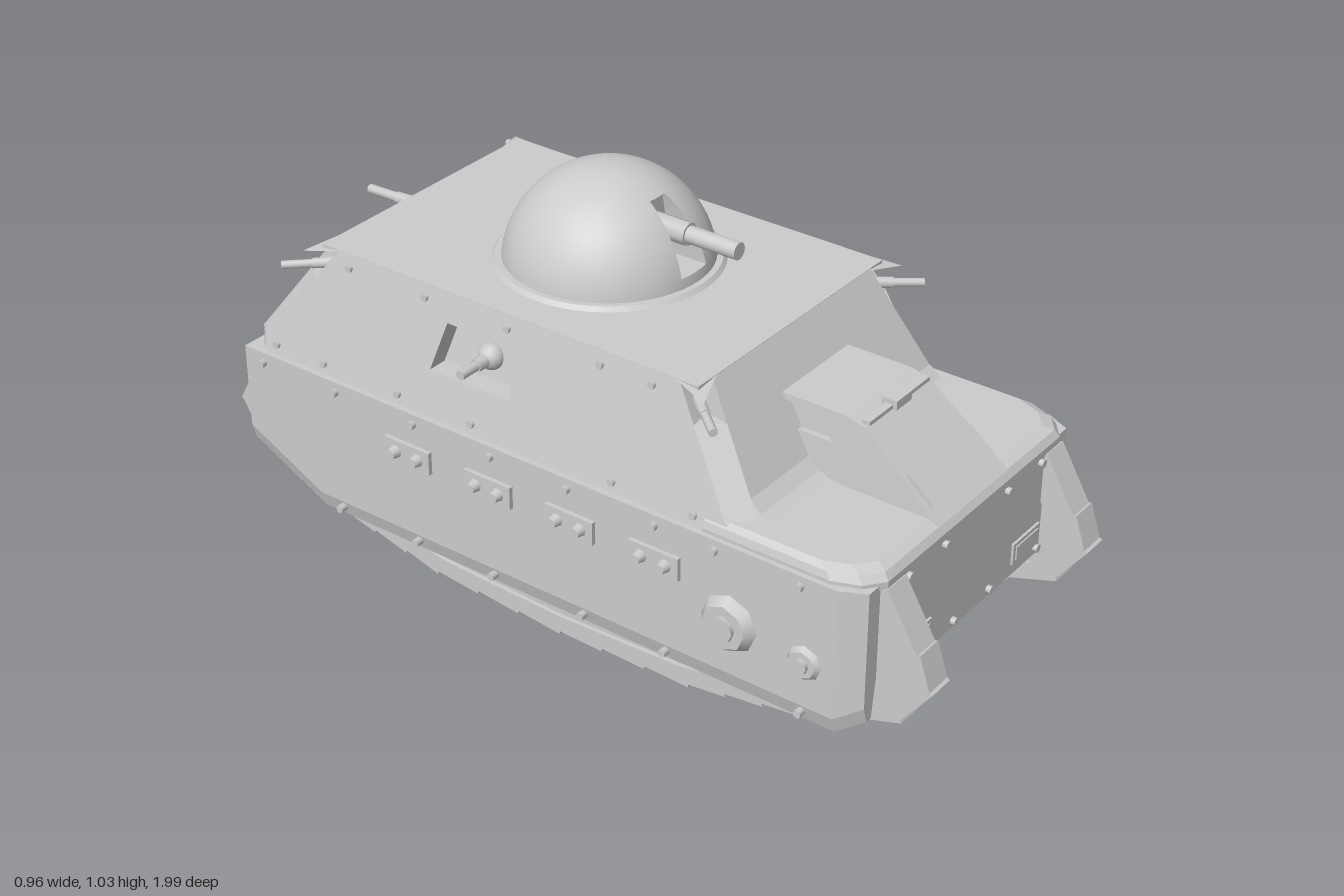
import * as THREE from 'three';
import { mergeGeometries } from 'three/addons/utils/BufferGeometryUtils.js';

const grey = new THREE.MeshStandardMaterial({ color: 0xcccccc, side: THREE.DoubleSide });
const V = (p) => new THREE.Vector3(...p);

// Skin between rows of points, flat shaded, with optional end caps
function loft(rows, closed = false, caps = false) {
  const pos = [];
  const n = rows[0].length;
  for (let i = 0; i < rows.length - 1; i++) {
    for (let j = 0; j < (closed ? n : n - 1); j++) {
      const k = (j + 1) % n;
      const [a, b, c, d] = [rows[i][j], rows[i][k], rows[i + 1][k], rows[i + 1][j]];
      pos.push(...a, ...b, ...c, ...a, ...c, ...d);
    }
  }
  if (caps) for (const r of [rows[0], rows[rows.length - 1]])
    for (let j = 1; j < n - 1; j++) pos.push(...r[0], ...r[j], ...r[j + 1]);
  const g = new THREE.BufferGeometry();
  g.setAttribute('position', new THREE.Float32BufferAttribute(pos, 3));
  g.computeVertexNormals();
  return g;
}

const shapeOf = (pts) => new THREE.Shape(pts.map((p) => new THREE.Vector2(...p)));

// Flat plate with a recessed pocket; place(u, v, depth) gives the point in space
function panel(outline, hole, place, depth = 0.05) {
  const flat = (shape, d) => {
    const g = new THREE.ShapeGeometry(shape).toNonIndexed();
    const p = g.attributes.position;
    for (let i = 0; i < p.count; i++) p.setXYZ(i, ...place(p.getX(i), p.getY(i), d));
    g.deleteAttribute('uv');
    g.computeVertexNormals();
    return g;
  };
  const shape = shapeOf(outline);
  shape.holes.push(shapeOf(hole));
  const rim = [0, depth].map((d) => hole.map(([u, v]) => place(u, v, d)));
  return mergeGeometries([flat(shape, 0), flat(shapeOf(hole), depth), loft(rim, true)]);
}

// Slopes of the upper hull
const sideX = (y) => 0.415 - (y - 0.53) * 0.222;
const frontZ = (y) => 0.385 + (0.8 - y) * 0.62;
const rearZ = (y) => -0.89 + Math.max(0, y - 0.53) * 0.74;

export function createModel() {
  const model = new THREE.Group();
  const body = new THREE.Group();
  body.name = 'vehicle';
  body.position.x = -0.012;
  model.add(body);

  const add = (name, geo, at = [0, 0, 0]) => {
    const m = new THREE.Mesh(geo, grey);
    m.name = name;
    m.position.set(...at);
    body.add(m);
    return m;
  };
  const box = (name, size, at) => add(name, new THREE.BoxGeometry(...size), at);
  const rod = (name, a, b, r1, r2 = r1, sides = 10) => {
    const d = V(b).sub(V(a));
    const m = add(name, new THREE.CylinderGeometry(r2, r1, d.length(), sides), V(a).addScaledVector(d, 0.5).toArray());
    m.quaternion.setFromUnitVectors(new THREE.Vector3(0, 1, 0), d.normalize());
    return m;
  };
  const gun = (name, a, b, r) => {
    rod(name, a, b, r);
    const at = (t) => V(a).lerp(V(b), t).toArray();
    rod(name + 'Sleeve', at(0), at(0.55), r * 1.5, r * 1.3, 8);
  };
  const bar = (name, pts, r) => {
    const path = new THREE.CurvePath();
    for (let i = 1; i < pts.length; i++) path.add(new THREE.LineCurve3(V(pts[i - 1]), V(pts[i])));
    add(name, new THREE.TubeGeometry(path, 24, r, 6));
  };

  // Lower hull, extruded across the vehicle
  const core = new THREE.ExtrudeGeometry(shapeOf([
    [0.87, 0.505], [0.87, 0.23], [0.83, 0.18], [0.72, 0.145], [0.6, 0.13],
    [-0.62, 0.13], [-0.8, 0.19], [-0.89, 0.27], [-0.89, 0.53], [0.5, 0.53]]), { depth: 0.6, bevelEnabled: false });
  add('lowerHull', core.rotateY(-Math.PI / 2).translate(0.3, 0, 0));
  box('rearDeck', [0.74, 0.09, 0.3], [0, 0.485, -0.74]);

  // Bonnet with cut front corners and a softened top edge
  const plan = (y, w, z) => [[w, y, 0.45], [w, y, z - 0.1], [w - 0.025, y, z - 0.035], [w - 0.07, y, z],
    [-w + 0.07, y, z], [-w + 0.025, y, z - 0.035], [-w, y, z - 0.1], [-w, y, 0.45]];
  add('bonnet', loft([plan(0.49, 0.425, 0.872), plan(0.508, 0.425, 0.872), plan(0.525, 0.42, 0.86),
    plan(0.535, 0.405, 0.835)], true, true));

  // Upper hull: front, rear, sides, notched corners and roof
  add('frontPlate', loft([[0.8, 0.385], [0.575, frontZ(0.575)], [0.55, 0.555], [0.54, 0.58], [0.535, 0.62]]
    .map(([y, z]) => [-1, 1].map((s) => [s * (sideX(y) - 0.05), y, z]))));
  add('rearPlate', panel([[-0.365, 0.53], [0.365, 0.53], [0.305, 0.8], [-0.305, 0.8]],
    [[-0.115, 0.705], [0.115, 0.705], [0.1, 0.785], [-0.1, 0.785]], (x, y, d) => [x, y, rearZ(y) + d]));
  box('roof', [0.71, 0.008, 1.075], [0, 0.797, -0.1525]);
  for (const s of [-1, 1]) {
    add('sidePlate', panel([[0.521, 0.5], [0.335, 0.8], [-0.64, 0.8], [-0.84, 0.53], [-0.84, 0.5]],
      [[-0.105, 0.61], [-0.335, 0.61], [-0.3, 0.73], [-0.105, 0.73]],
      (z, y, d) => [s * (sideX(y) - d), y, z]));
    for (const e of [1, -1]) {
      const endZ = e > 0 ? frontZ : rearZ;
      const corner = (y, notch) => {
        const x = sideX(y), z = endZ(y), c = 0.05, m = notch ? 0.06 : 0.025;
        return [[s * (x - c), y, z], [s * (x - m), y, z - e * m], [s * x, y, z - e * c]];
      };
      add('cornerPlate', loft([corner(0.5), corner(0.53), corner(0.715), corner(0.716, true), corner(0.8, true)]));
      const tip = [s * 0.385, 0.785, endZ(0.8) + e * 0.035];
      add('cornerVisor', loft([[[s * 0.29, 0.8, endZ(0.8)], tip], [[s * 0.355, 0.8, endZ(0.8) - e * 0.06], tip]]));
      gun('cornerGun', [s * 0.31, 0.75, endZ(0.8) - e * 0.04], [s * 0.412, 0.745, endZ(0.8) + e * 0.08], 0.01);
    }
    // Side gun in its port
    gun('sideGun', [s * 0.33, 0.665, -0.2], [s * 0.448, 0.665, -0.2], 0.012);
    add('sideGunBall', new THREE.SphereGeometry(0.032, 16, 10), [s * 0.338, 0.665, -0.2]);
  }
  gun('rearGun', [0, 0.755, -0.67], [0, 0.75, -0.867], 0.012);
  add('rearGunBall', new THREE.SphereGeometry(0.03, 16, 10), [0, 0.752, -0.68]);

  // Side door on the left of the vehicle
  const door = (w, y0, y1, z, out) => loft([y0, y1].map((y) => [
    [sideX(y) - 0.01, y, z - w], [sideX(y) + out, y, z - w], [sideX(y) + out, y, z + w], [sideX(y) - 0.01, y, z + w]]), true, true);
  add('sideDoor', door(0.098, 0.535, 0.785, 0.007, 0.006));
  add('doorShutter', door(0.047, 0.625, 0.735, 0.005, 0.014));
  add('doorShutterPane', door(0.037, 0.637, 0.723, 0.005, 0.018));

  // Driver's hood
  const hoodLine = [[0.862, 0.525], [0.66, 0.69], [0.61, 0.703], [0.42, 0.703]];
  const hoodX = (y) => 0.142 - (y - 0.53) * 0.075;
  add('driverHood', loft(hoodLine.map(([z, y]) => [[-hoodX(y), y, z], [hoodX(y), y, z]])));
  for (const s of [-1, 1]) {
    add('driverHoodSide', panel([...hoodLine, [0.48, 0.525]],
      [[0.58, 0.628], [0.48, 0.628], [0.455, 0.688], [0.54, 0.688]],
      (z, y, d) => [s * (hoodX(y) - d), y, z], 0.015));
  }
  box('visorFlap', [0.255, 0.01, 0.085], [0, 0.585, 0.8]).rotation.x = 0.685;
  box('visorHinge', [0.06, 0.022, 0.04], [0, 0.702, 0.655]);
  box('visorLip', [0.24, 0.01, 0.02], [0, 0.697, 0.655]);

  // Dome with a recessed gun slot
  const R = 0.249, cy = 0.783, cz = -0.127, gap = 0.19, back = 0.13;
  const t1 = Math.acos(0.207 / R), t2 = Math.acos(0.052 / R);
  const dome = mergeGeometries([
    new THREE.SphereGeometry(R, 64, 10, 0, Math.PI * 2, 0, t1),
    new THREE.SphereGeometry(R, 64, 14, Math.PI / 2 + gap, 2 * (Math.PI - gap), t1, t2 - t1),
    new THREE.SphereGeometry(R, 64, 5, 0, Math.PI * 2, t2, Math.PI / 2 - t2)]);
  add('dome', dome, [0, cy, cz]);
  const slotRow = (t) => {
    const r = R * Math.sin(t), y = R * Math.cos(t), x = r * Math.sin(gap), z = r * Math.cos(gap);
    return [[-x, y, z], [-x, y, back], [x, y, back], [x, y, z]];
  };
  add('domeSlot', loft(Array.from({ length: 15 }, (_, i) => slotRow(t1 + (t2 - t1) * i / 14))), [0, cy, cz]);
  const ledge = slotRow(t2);
  add('domeSlotLedge', loft([[ledge[0], ledge[3]], [ledge[1], ledge[2]]]), [0, cy, cz]);
  add('domeRing', new THREE.CylinderGeometry(0.262, 0.274, 0.014, 64), [0, 0.804, cz]);
  rod('domeGun', [0, 0.925, 0], [0, 0.925, 0.235], 0.021, 0.021, 16);
  rod('domeGunSleeve', [0, 0.925, 0], [0, 0.925, 0.1], 0.028, 0.028, 8);

  // Tracks: stepped links around a loop, with a recessed inner web
  const half = [[0.87, 0.49], [0.955, 0.36], [0.99, 0.28], [0.925, 0.18], [0.67, 0.08], [0.37, 0.022], [0, 0.008]];
  const loop = [...half, ...half.slice(0, -1).reverse().map(([z, y]) => [-z, y])];
  const links = [];
  loop.forEach(([z0, y0], i) => {
    const [z1, y1] = loop[(i + 1) % loop.length];
    const len = Math.hypot(z1 - z0, y1 - y0), n = Math.max(1, Math.round(len / 0.12));
    const nz = (y1 - y0) / len, ny = -(z1 - z0) / len;
    for (let k = 0; k < n; k++) for (const [t, o] of [[k / n + 0.001, 0.008], [(k + 1) / n - 0.001, 0]])
      links.push([z0 + (z1 - z0) * t - nz * o, y0 + (y1 - y0) * t - Math.abs(ny) * o * Math.sign(z0 - z1 || 1) * (y0 > 0.48 && y1 > 0.48 ? 0 : 1)]);
  });
  const inner = loop.map(([z, y]) => [z * 0.925, 0.27 + (y - 0.27) * 0.84]);
  const ring = shapeOf(links);
  ring.holes.push(shapeOf(inner));
  for (const s of [-1, 1]) {
    const extrude = (shape, w) => new THREE.ExtrudeGeometry(shape, { depth: w, bevelEnabled: false })
      .translate(0, 0, -w / 2).rotateY(-Math.PI / 2);
    add('track', extrude(ring, 0.071), [s * 0.328, 0, 0]);
    add('trackWeb', extrude(shapeOf(inner), 0.05), [s * 0.328, 0, 0]);
  }

  // Side skirts and their fittings
  for (const s of [-1, 1]) {
    const section = (z, dx, yb) => [[0.365, 0.5], [0.437 - dx, 0.5], [0.437 - dx, yb + 0.04], [0.425 - dx, yb],
      [0.408 - dx, yb], [0.365, yb + 0.1]].map(([x, y]) => [s * x, y, z]);
    add('skirt', loft([section(0.86, 0.03, 0.165), section(0.8, 0, 0.13), section(-0.67, 0, 0.13),
      section(-0.89, 0, 0.24)], true, true));
    const stud = (name, x, y, z, r, h, sides = 8, top = r) =>
      rod(name, [s * x, y, z], [s * (x + h), y, z], r, top, sides);
    for (const z of [0.71, 0.49, 0.33, 0.09, -0.13, -0.36, -0.6, -0.83]) stud('bolt', 0.435, 0.475, z, 0.01, 0.015);
    for (const z of [0.72, 0.36, 0.13, -0.13, -0.36, -0.6]) stud('bolt', 0.425, 0.155, z, 0.01, 0.027);
    for (const z of [0.27, 0.13, -0.13, -0.37, -0.6]) stud('bolt', sideX(0.77) - 0.005, 0.77, z, 0.009, 0.014);
    for (const z of [0.42, 0.2, -0.2, -0.42, -0.65, -0.8]) stud('bolt', sideX(0.525) - 0.005, 0.525, z, 0.009, 0.014);
    for (const z of [0.333, 0.1, -0.135, -0.375]) {
      box('bracket', [0.016, 0.058, 0.135], [s * 0.44, 0.39, z]);
      for (const d of [-0.033, 0.033]) stud('bracketBolt', 0.44, 0.39, z + d, 0.018, 0.028, 10, 0.012);
    }
    for (const [z, y, r, h] of [[0.53, 0.303, 0.074, 0.026], [0.725, 0.285, 0.045, 0.014]]) {
      stud('wheelCap', 0.435, y, z, r, h, 8, r * 0.75);
      stud('wheelHub', 0.435, y, z, r * 0.42, h + 0.01, 8);
    }
    // Front plate lamps
    box('lampFrame', [0.115, 0.055, 0.012], [s * 0.23, 0.288, 0.87]);
    box('lampPane', [0.095, 0.036, 0.018], [s * 0.23, 0.288, 0.87]);
    for (const [x, y] of [[0.275, 0.48], [0.13, 0.48], [0.28, 0.25], [0.075, 0.25]])
      rod('frontBolt', [s * x, y, 0.865], [s * x, y, 0.882], 0.01, 0.01, 8);
  }

  // Steps on the left skirt
  for (const y of [0.457, 0.31, 0.187])
    bar('step', [[0.43, y, 0.085], [0.482, y, 0.05], [0.482, y, -0.055], [0.43, y, -0.09]], 0.01);

  // Rear grille
  box('grillePanel', [0.36, 0.25, 0.012], [0, 0.385, -0.893]);
  for (let i = 0; i < 6; i++) {
    const y = 0.282 + i * 0.04;
    bar('grilleBar', [[-0.17, y, -0.89], [-0.12, y, -0.932], [0.12, y, -0.932], [0.17, y, -0.89]], 0.009);
  }
  return model;
}
